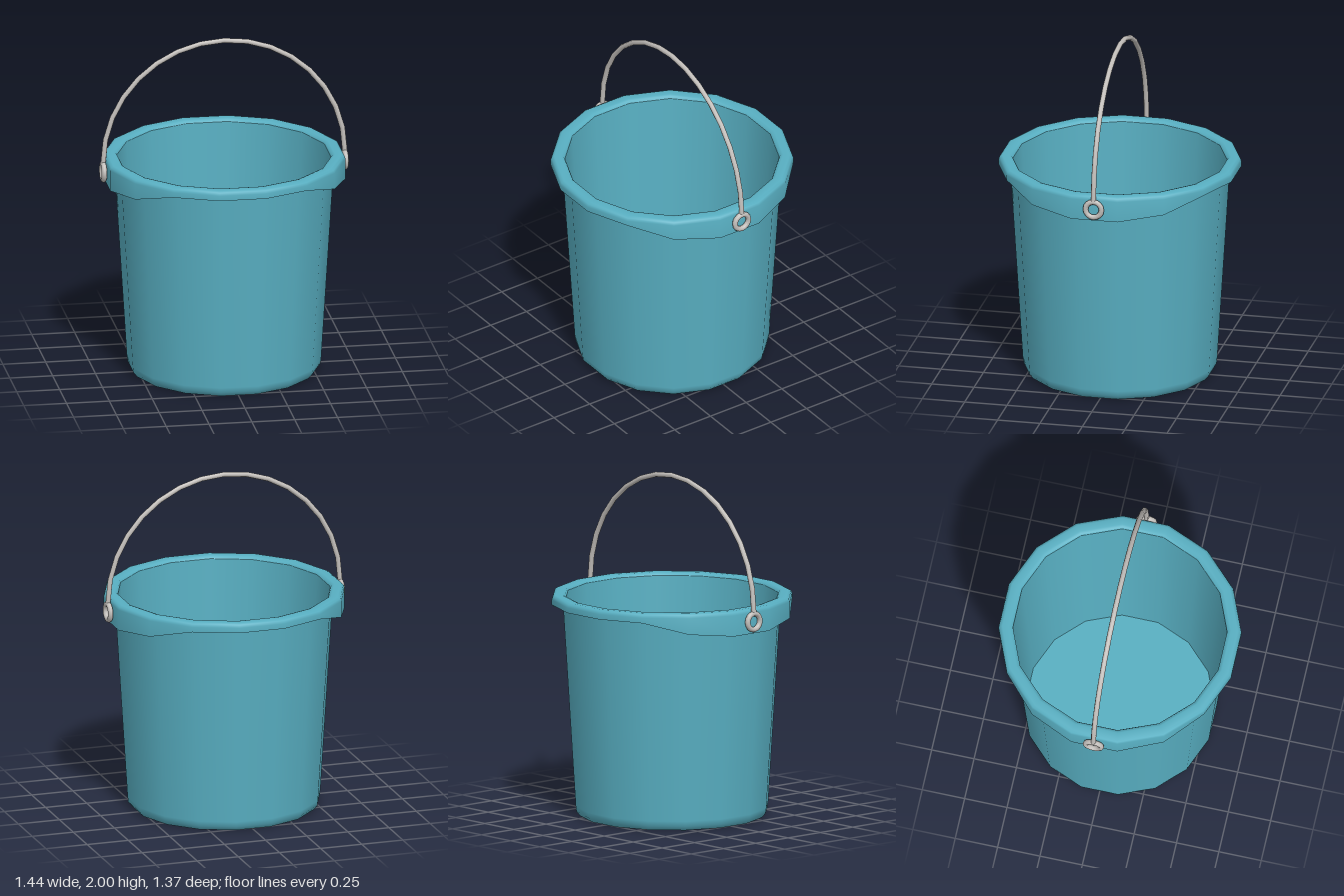
import * as THREE from 'three';

const SIDES = 16;
const HALF = Math.PI / SIDES;

// Turned shell with a flat side facing front
function lathe(profile) {
  const points = profile.map(([r, y]) => new THREE.Vector2(r, y));
  return new THREE.LatheGeometry(points, SIDES, HALF);
}

// Lower the rim's bottom edge towards the handle sides
function dropSkirt(geometry) {
  const p = geometry.attributes.position;
  for (let i = 0; i < p.count; i++) {
    if (p.getY(i) > 1.25) continue;
    const z = Math.abs(p.getZ(i)) / Math.hypot(p.getX(i), p.getZ(i));
    const t = (z ** 3 - 0.007) / 0.565;
    p.setY(i, p.getY(i) - 0.092 * Math.max(0, 1 - t));
  }
  return geometry;
}

export function createModel() {
  const model = new THREE.Group();
  model.name = 'bucket';
  const teal = new THREE.MeshStandardMaterial({ name: 'teal plastic', color: 0x58afc2 });
  const metal = new THREE.MeshStandardMaterial({ name: 'pale metal', color: 0xc4c0bc });

  function add(name, geometry, material, parent = model) {
    const mesh = new THREE.Mesh(geometry, material);
    mesh.name = name;
    parent.add(mesh);
    return mesh;
  }

  // Tapered body with a softened bottom edge
  add('outerWall', lathe([[0, 0], [0.51, 0], [0.535, 0.004], [0.556, 0.03], [0.56, 0.06], [0.634, 1.25]]), teal);
  add('innerWall', lathe([[0.617, 1.283], [0.545, 0.03]]), teal);
  add('floor', lathe([[0.545, 0.03], [0, 0.03]]), teal);

  // Rolled rim with a skirt that dips at both sides
  add('rim', dropSkirt(lathe([
    [0.7, 1.245], [0.7, 1.275], [0.694, 1.292], [0.678, 1.3],
    [0.64, 1.3], [0.624, 1.295], [0.617, 1.283],
  ])), teal);
  add('rimUnderside', dropSkirt(lathe([[0.622, 1.245], [0.7, 1.245]])), teal);

  // Half-round wire handle
  const arc = [];
  for (let i = 0; i <= 16; i++) {
    const a = (i / 16) * Math.PI;
    arc.push(new THREE.Vector3(0.705 * Math.cos(a), 1.28 + 0.705 * Math.sin(a), 0));
  }
  const handle = new THREE.Group();
  handle.name = 'handle';
  model.add(handle);
  add('handleWire', new THREE.TubeGeometry(new THREE.CatmullRomCurve3(arc), 16, 0.015, 8), metal, handle);

  // Eyelet at each end
  for (const side of [1, -1]) {
    const ring = add(side > 0 ? 'leftEyelet' : 'rightEyelet',
      new THREE.TorusGeometry(0.047, 0.016, 8, 16), metal, handle);
    ring.rotation.y = Math.PI / 2;
    ring.position.set(0.705 * side, 1.226, 0);
  }
  return model;
}
